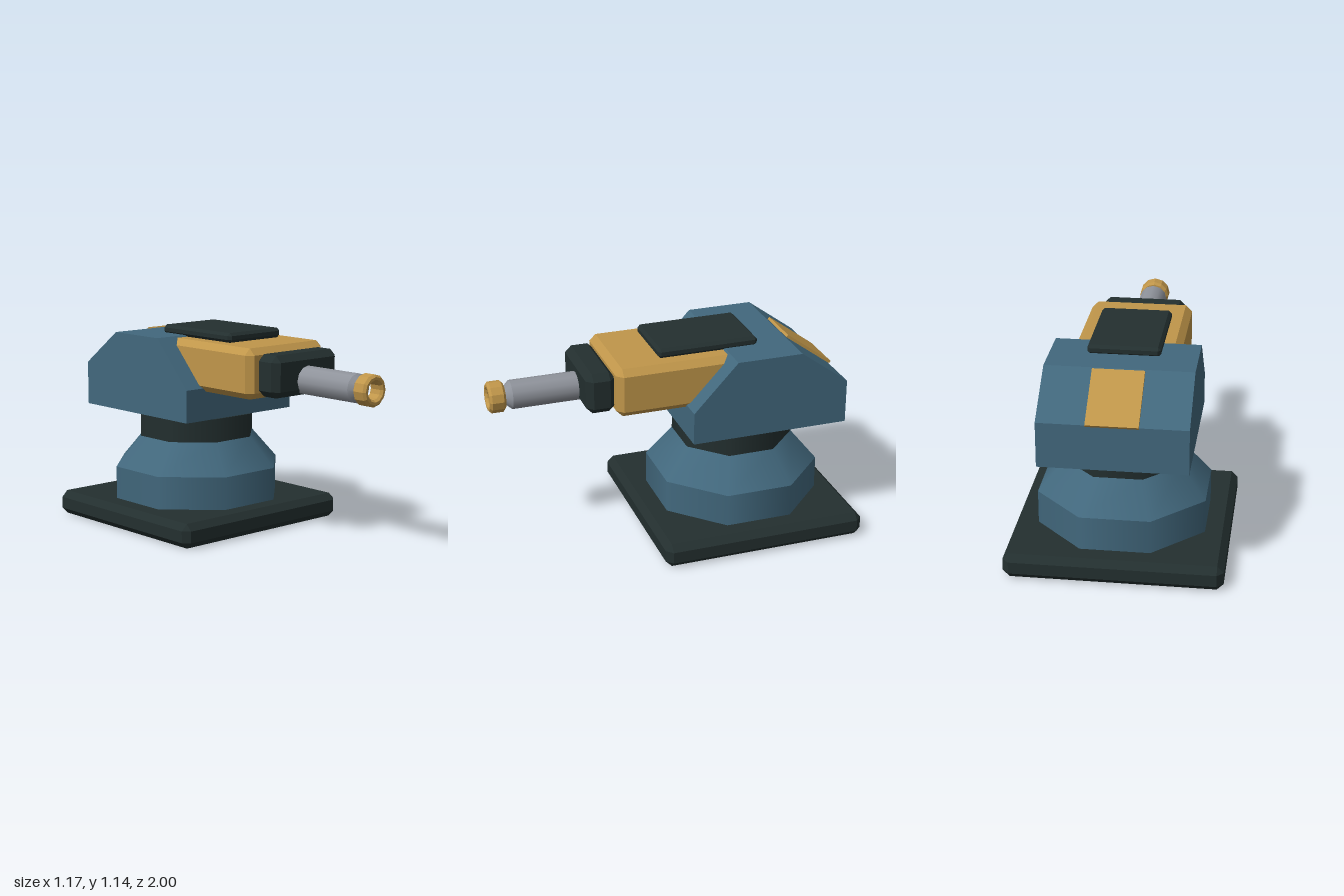
import * as THREE from 'three';
import { ConvexGeometry } from 'three/addons/geometries/ConvexGeometry.js';

const material = (name, color) => {
  const m = new THREE.MeshStandardMaterial({ color });
  m.name = name;
  return m;
};

// Box with every edge cut at 45 degrees, given by its extents
function chamferBox([x0, x1], [y0, y1], [z0, z1], c) {
  const h = [(x1 - x0) / 2, (y1 - y0) / 2, (z1 - z0) / 2];
  const points = [];
  for (const sx of [-1, 1]) for (const sy of [-1, 1]) for (const sz of [-1, 1])
    for (let full = 0; full < 3; full++) {
      const [x, y, z] = h.map((v, i) => (i === full ? v : v - c));
      points.push(new THREE.Vector3(sx * x, sy * y, sz * z));
    }
  return new ConvexGeometry(points).translate((x0 + x1) / 2, (y0 + y1) / 2, (z0 + z1) / 2);
}

export function createModel() {
  const blue = material('steel blue', 0x42687d);
  const gold = material('ochre', 0xc0964a);
  const dark = material('near black', 0x232f2f);
  const grey = material('gun grey', 0x8f939b);

  const model = new THREE.Group();
  model.name = 'turret';
  const add = (name, geometry, mat, parent = model) => {
    const mesh = new THREE.Mesh(geometry, mat);
    mesh.name = name;
    parent.add(mesh);
    return mesh;
  };

  const pivotZ = -0.415;
  const barrelY = 0.912;

  // Base plate
  add('basePlate', chamferBox([-0.585, 0.585], [0, 0.138], [-1, 0.17], 0.036), dark);

  // Eight-sided pedestal, flats facing the axes; radii are measured to the flats
  const octagon = (name, rTop, rBottom, y0, y1, mat) => {
    const k = 1 / Math.cos(Math.PI / 8);
    const g = new THREE.CylinderGeometry(rTop * k, rBottom * k, y1 - y0, 8);
    g.rotateY(Math.PI / 8).translate(0, (y0 + y1) / 2, pivotZ);
    add(name, g, mat);
  };
  octagon('pedestalDrum', 0.455, 0.455, 0.13, 0.325, blue);
  octagon('pedestalTaper', 0.316, 0.455, 0.325, 0.497, blue);
  octagon('neck', 0.316, 0.316, 0.49, 0.631, dark);

  // Head: side profile (z, y) swept across x
  const profile = [
    [-0.045, 0.647], [-0.045, 0.83], [-0.295, 1.097],
    [-0.668, 1.097], [-0.943, 0.895], [-0.943, 0.647],
  ].map(([z, y]) => new THREE.Vector2(z, y));
  const headWidth = 0.788;
  const head = new THREE.ExtrudeGeometry(new THREE.Shape(profile), { depth: headWidth, bevelEnabled: false });
  head.translate(0, 0, -headWidth / 2).rotateY(-Math.PI / 2);
  add('head', head, blue);

  // Rear panel lying on the back slope
  const panel = add('rearPanel', new THREE.BoxGeometry(0.275, 0.016, 0.335), gold);
  panel.position.set(0, 0.996, -0.82);
  panel.rotation.x = -Math.atan2(0.202, 0.275);

  // Roof hatch, gun housing and collar
  add('roofHatch', chamferBox([-0.195, 0.195], [1.088, 1.142], [-0.485, 0.09], 0.016), dark);
  add('gunHousing', chamferBox([-0.287, 0.287], [0.81, 1.088], [-0.42, 0.35], 0.036), gold);
  add('collar', chamferBox([-0.24, 0.24], [0.83, 1.06], [0.34, 0.505], 0.036), dark);

  // Barrel along +z with a tapered tip
  const barrel = new THREE.Group();
  barrel.name = 'barrel';
  barrel.position.y = barrelY;
  model.add(barrel);
  const tube = (name, rFront, rBack, z0, z1) => {
    const g = new THREE.CylinderGeometry(rFront, rBack, z1 - z0, 12);
    add(name, g.rotateX(Math.PI / 2).translate(0, 0, (z0 + z1) / 2), grey, barrel);
  };
  tube('barrelTube', 0.08, 0.08, 0.48, 0.872);
  tube('barrelTip', 0.044, 0.08, 0.872, 0.912);

  // Hollow muzzle ring with bevelled rims
  const section = [
    [0.06, 0.91], [0.074, 0.91], [0.087, 0.923], [0.087, 0.987], [0.074, 1],
    [0.06, 1], [0.048, 0.987], [0.048, 0.923], [0.06, 0.91],
  ].map(([r, z]) => new THREE.Vector2(r, z));
  const ring = new THREE.LatheGeometry(section, 12).toNonIndexed();
  ring.computeVertexNormals();
  add('muzzleRing', ring.rotateX(Math.PI / 2), gold, barrel);

  return model;
}
